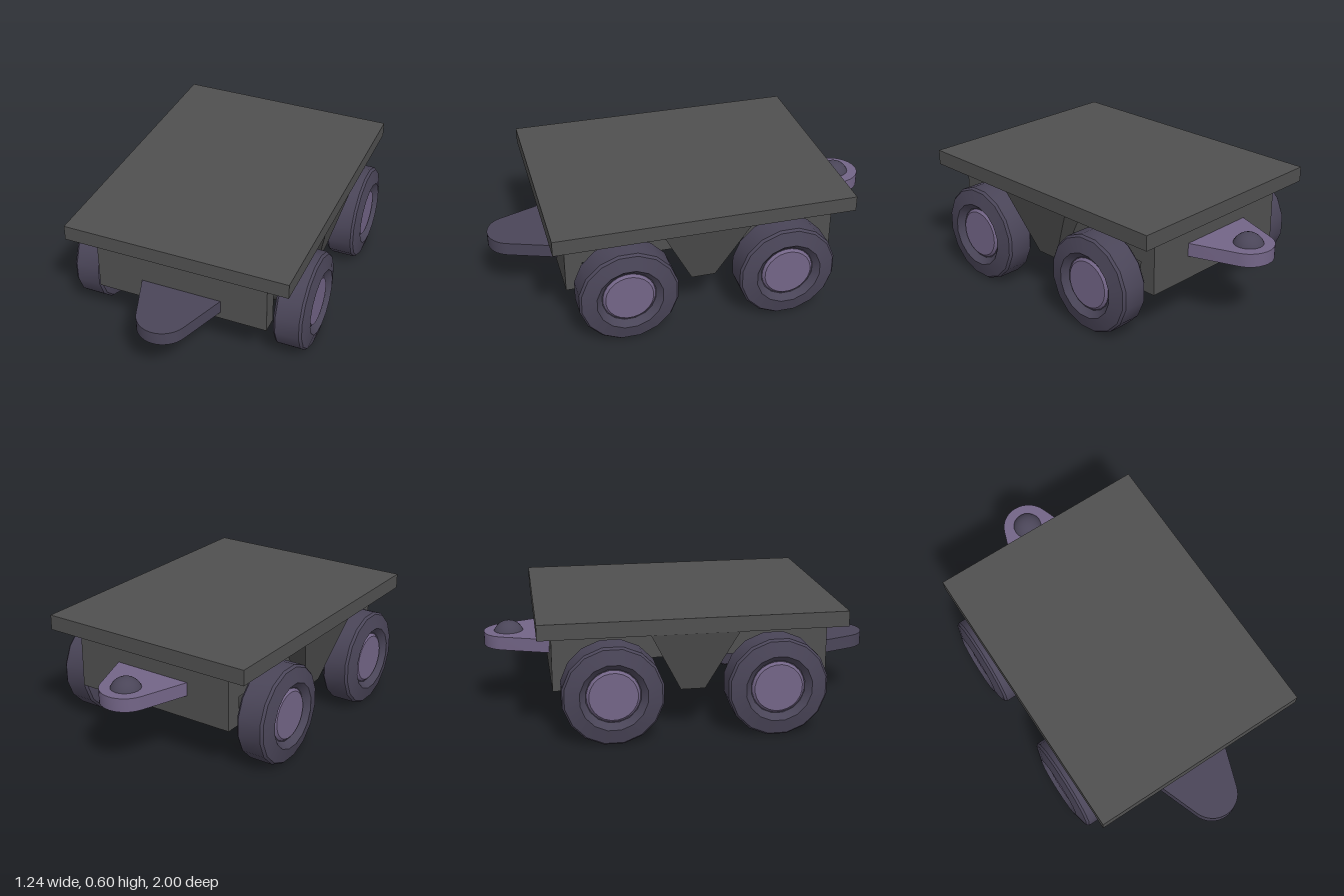
import * as THREE from 'three';
import { toCreasedNormals } from 'three/addons/utils/BufferGeometryUtils.js';

const material = (name, color) => {
  const m = new THREE.MeshStandardMaterial({ color });
  m.name = name;
  return m;
};

export function createModel() {
  const grey = material('chassisGrey', 0x505050);
  const axleGrey = material('axleGrey', 0x3a3a3a);
  const dark = material('darkViolet', 0x4a4558);
  const violet = material('violet', 0x736587);
  const model = new THREE.Group();
  model.name = 'flatCart';

  const add = (name, geometry, mat, x = 0, y = 0, z = 0, parent = model) => {
    const mesh = new THREE.Mesh(geometry, mat);
    mesh.name = name;
    mesh.position.set(x, y, z);
    parent.add(mesh);
    return mesh;
  };
  const box = (name, w, h, d, x, y, z) =>
    add(name, new THREE.BoxGeometry(w, h, d), grey, x, y, z);

  // Ring or disc turned around the x axis, with sharp profile edges
  const turned = (profile, segments) => {
    const points = profile.map(([r, x]) => new THREE.Vector2(r, x));
    const g = new THREE.LatheGeometry(points, segments, Math.PI / segments);
    return toCreasedNormals(g.rotateZ(-Math.PI / 2), 0.5);
  };

  // Deck and open-bottomed frame: deep end beams, shallow thin side rails
  box('deck', 1.144, 0.077, 1.5, 0, 0.5685, 0);
  for (const s of [1, -1]) {
    box('endBeam', 0.885, 0.297, 0.085, 0, 0.3815, s * 0.637);
    box('sideRail', 0.008, 0.15, 1.19, s * 0.4385, 0.455, 0);
  }

  // Side brackets that narrow downwards and slope inwards
  for (const s of [1, -1]) {
    const g = new THREE.BoxGeometry(1, 1, 1);
    const p = g.attributes.position;
    for (let i = 0; i < p.count; i++) {
      const top = p.getY(i) > 0;
      const outer = p.getX(i) * s > 0;
      const x = outer ? (top ? 0.567 : 0.49) : 0.435;
      p.setXYZ(i, s * x, top ? 0.53 : 0.225, Math.sign(p.getZ(i)) * (top ? 0.215 : 0.06));
    }
    const flat = g.toNonIndexed();
    flat.computeVertexNormals();
    add('sideBracket', flat, grey);
  }

  // Wheels and axles
  const tyre = turned([[0.1, -0.06], [0.135, -0.06], [0.165, -0.09], [0.238, -0.072],
    [0.248, -0.06], [0.248, 0.06], [0.238, 0.072], [0.165, 0.09], [0.135, 0.06], [0.1, 0.06]], 16);
  const hub = turned([[0, -0.072], [0.118, -0.072], [0.132, -0.058],
    [0.132, 0.058], [0.118, 0.072], [0, 0.072]], 24);
  const axle = new THREE.CylinderGeometry(0.046, 0.046, 0.94, 16).rotateZ(Math.PI / 2);
  for (const z of [0.4, -0.4]) {
    add('axle', axle, axleGrey, 0, 0.245, z);
    for (const x of [0.531, -0.531]) {
      const wheel = new THREE.Group();
      wheel.name = 'wheel';
      wheel.position.set(x, 0.247, z);
      add('tyre', tyre, dark, 0, 0, 0, wheel);
      add('hub', hub, violet, 0, 0, 0, wheel);
      model.add(wheel);
    }
  }

  // Rounded couplings at both ends: a thin top with a rim, open below
  const outline = (path, inset) => {
    path.moveTo(-0.21 + inset, 0.67 + inset);
    path.lineTo(0.21 - inset, 0.67 + inset);
    path.absarc(0, 0.87, 0.13 - inset, 0.36, Math.PI - 0.36, false);
    path.closePath();
    return path;
  };
  const slab = (shape, depth) => toCreasedNormals(new THREE.ExtrudeGeometry(shape,
    { depth, bevelEnabled: false, curveSegments: 8 }).rotateX(Math.PI / 2), 0.6);
  const rimShape = outline(new THREE.Shape(), 0);
  rimShape.holes.push(outline(new THREE.Path(), 0.004));
  const top = slab(outline(new THREE.Shape(), 0), 0.004);
  const rim = slab(rimShape, 0.064);
  const coupling = (name, mat, y, turn) => {
    const group = new THREE.Group();
    group.name = name;
    group.position.y = y;
    group.rotation.y = turn;
    add('couplingTop', top, mat, 0, 0, 0, group);
    add('couplingRim', rim, mat, 0, -0.004, 0, group);
    model.add(group);
  };
  coupling('frontCoupling', dark, 0.338, 0);
  coupling('rearCoupling', violet, 0.421, Math.PI);

  // Domed coupling ball on the rear plate
  const dome = new THREE.SphereGeometry(0.08, 20, 8, 0, Math.PI * 2, 0, Math.PI * 0.39);
  add('couplingBall', dome, dark, 0, 0.391, -0.875);
  return model;
}
